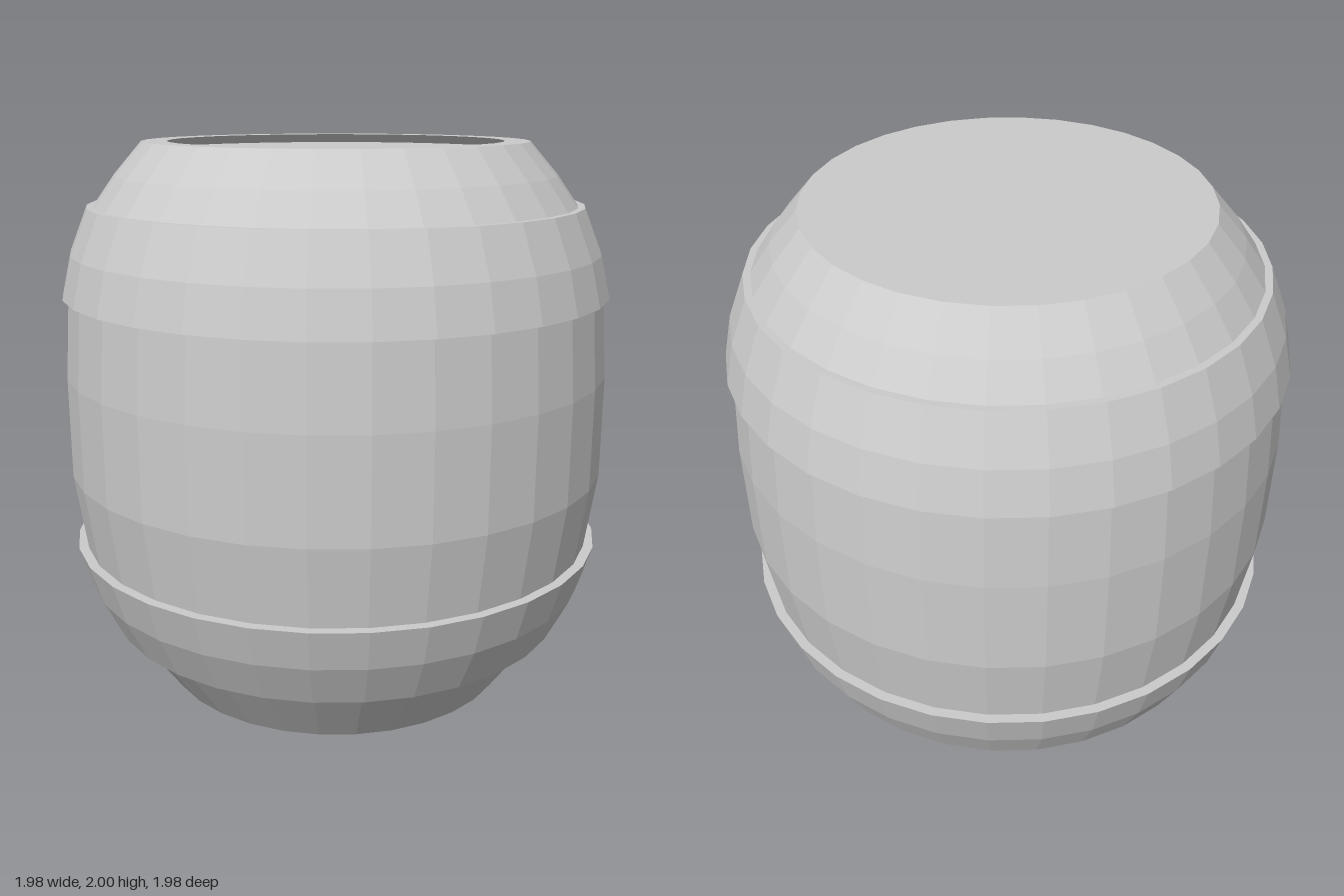
import * as THREE from 'three';

const SIDES = 32;

function createModel() {
  const group = new THREE.Group();
  group.name = 'barrel';
  const material = new THREE.MeshStandardMaterial({
    color: 0xcccccc, flatShading: true, side: THREE.DoubleSide,
  });

  // Revolve a list of [radius, height] points
  const turn = (name, profile) => {
    const points = profile.map(([r, y]) => new THREE.Vector2(r, y));
    const mesh = new THREE.Mesh(new THREE.LatheGeometry(points, SIDES), material);
    mesh.name = name;
    group.add(mesh);
  };

  // Bulging stave wall with a flat rim at each end
  turn('staves', [
    [0.6, 0], [0.655, 0], [0.825, 0.24], [0.91, 0.4], [0.95, 0.55], [0.99, 0.83],
    [0.99, 1.19], [0.97, 1.47], [0.93, 1.62], [0.865, 1.78], [0.79, 1.885],
    [0.69, 2], [0.6, 2],
  ]);

  // Thin metal bands standing slightly proud of the staves
  turn('lowerHoop', [
    [0.825, 0.24], [0.86, 0.24], [0.94, 0.4], [0.985, 0.55], [0.95, 0.55],
  ]);
  turn('upperHoop', [
    [0.97, 1.47], [0.99, 1.47], [0.955, 1.62], [0.89, 1.78], [0.865, 1.78],
  ]);

  // End heads set just inside the rims
  const addHead = (name, y, radius, tilt) => {
    const head = new THREE.Mesh(new THREE.CircleGeometry(radius, SIDES), material);
    head.name = name;
    head.rotation.x = tilt;
    head.position.y = y;
    group.add(head);
  };
  addHead('topHead', 1.965, 0.7, -Math.PI / 2);
  addHead('bottomHead', 0.035, 0.67, Math.PI / 2);

  return group;
}

export { createModel };
